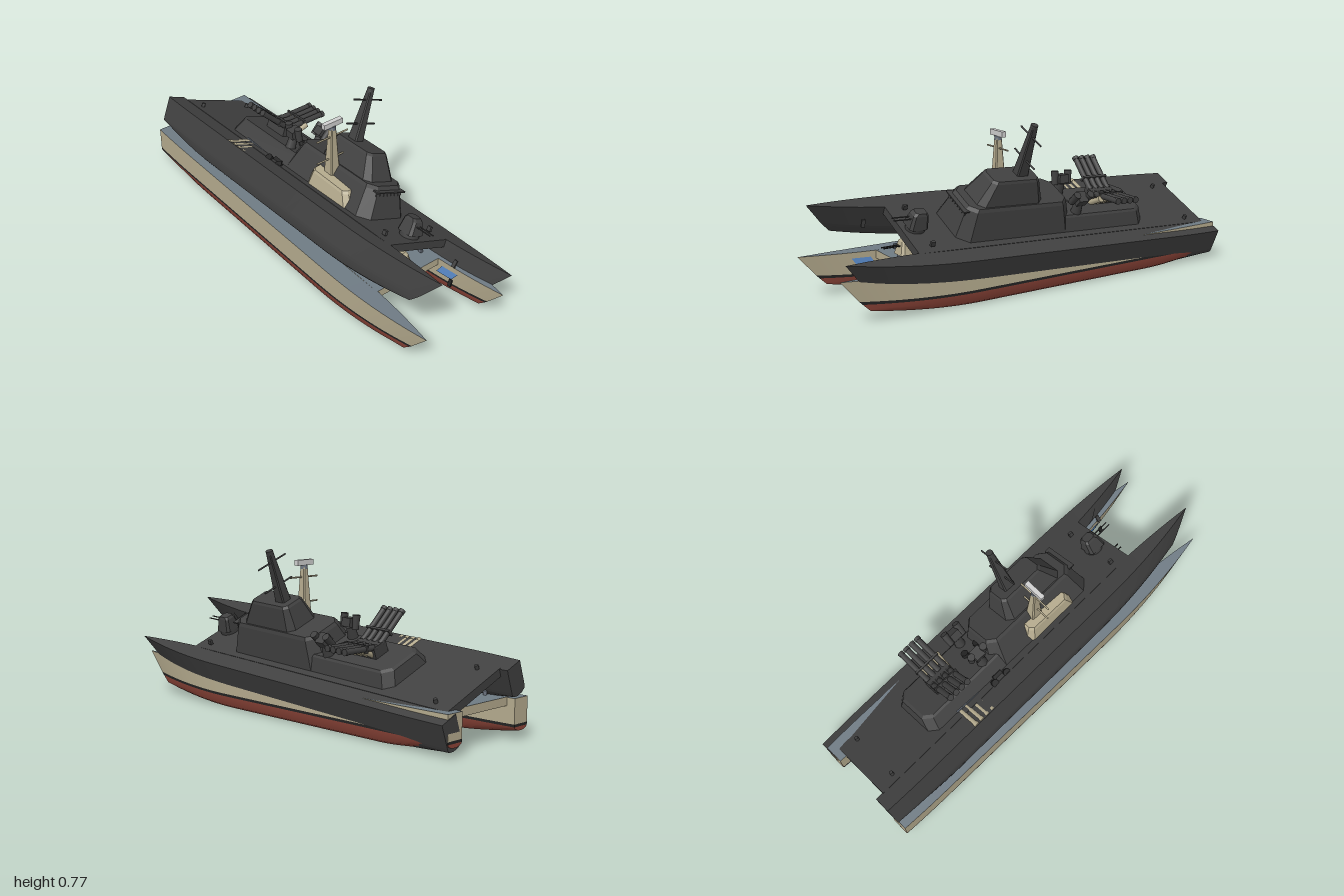
import * as THREE from 'three';
import { toCreasedNormals } from 'three/addons/utils/BufferGeometryUtils.js';
import { ConvexGeometry } from 'three/addons/geometries/ConvexGeometry.js';

const mat = (name, color, side = THREE.FrontSide) => {
  const m = new THREE.MeshStandardMaterial({ color, side });
  m.name = name;
  return m;
};
const lerp = THREE.MathUtils.lerp;
const clamp01 = (v) => Math.min(1, Math.max(0, v));

// Hull rows from keel to deck: half width, height, stern rise, bow height, bow z
const ROWS = [
  [0.016, 0.0, 0.04, 0.05, 0.865],
  [0.035, 0.012, 0.034, 0.055, 0.87],
  [0.046, 0.035, 0.016, 0.064, 0.88],
  [0.05, 0.058, 0, 0.083, 0.9],
  [0.051, 0.07, 0, 0.098, 0.915],
  [0.051, 0.182, 0, 0.197, 1.0],
];

// Point on the hull skin: row r (may be fractional), u from stern 0 to bow 1, side s
function skin(r, u, s) {
  const i = Math.min(4, Math.floor(r));
  const [w, y, rise, yBow, zBow] = ROWS[i].map((v, k) => lerp(v, ROWS[i + 1][k], r - i));
  const bow = 1 - clamp01((u - 0.68) / 0.32) ** 2.3;
  const stern = 1 - 0.12 * clamp01(1 - u / 0.15) ** 2;
  return [
    s * w * bow * stern,
    lerp(y, yBow, clamp01((u - 0.72) / 0.28) ** 1.8) + rise * clamp01(1 - u / 0.2) ** 1.5,
    lerp(-0.99, zBow, u),
  ];
}

function grid(f, n, m) {
  const pos = [], idx = [];
  for (let i = 0; i <= n; i++) for (let j = 0; j <= m; j++) pos.push(...f(i / n, j / m));
  for (let i = 0; i < n; i++) for (let j = 0; j < m; j++) {
    const a = i * (m + 1) + j, b = a + m + 1;
    idx.push(a, b, b + 1, a, b + 1, a + 1);
  }
  const g = new THREE.BufferGeometry();
  g.setAttribute('position', new THREE.Float32BufferAttribute(pos, 3));
  g.setIndex(idx);
  return toCreasedNormals(g, 0.5);
}

// Tapered block with cut corners; each ring is [y, front z, back z, half width, corner cut]
function block(...rings) {
  const pts = [];
  for (const [y, f, b, w, c] of rings) for (const s of [-1, 1]) {
    pts.push(new THREE.Vector3(s * w, y, f - c), new THREE.Vector3(s * (w - c), y, f),
      new THREE.Vector3(s * w, y, b + c), new THREE.Vector3(s * (w - c), y, b));
  }
  return new ConvexGeometry(pts);
}

function makeShip(name, C, hasRadar) {
  const ship = new THREE.Group();
  ship.name = name;
  const add = (n, geo, m, x = 0, y = 0, z = 0, parent = ship) => {
    const mesh = new THREE.Mesh(geo, m);
    mesh.name = n;
    mesh.position.set(x, y, z);
    parent.add(mesh);
    return mesh;
  };
  const box = (w, h, d) => new THREE.BoxGeometry(w, h, d);
  const cyl = (r0, r1, h, n = 12) => new THREE.CylinderGeometry(r0, r1, h, n);

  // Twin hulls
  for (const side of [-1, 1]) {
    const hull = new THREE.Group();
    hull.name = side < 0 ? 'rightHull' : 'leftHull';
    hull.position.x = side * 0.22;
    ship.add(hull);
    const part = (n, geo, m) => add(n, geo, m, 0, 0, 0, hull);
    for (const [n, r0, r1, m] of [['bottom', 0, 3, C.red], ['waterline', 3, 4, C.black], ['topside', 4, 5, C.sand]]) {
      for (const s of [-1, 1]) {
        part(n, grid((i, j) => skin(lerp(r0, r1, j), s > 0 ? 1 - i : i, s), 40, r1 - r0), m);
      }
      part(n + 'Transom', grid((i, j) => skin(lerp(r0, r1, i), 0, j * 2 - 1), r1 - r0, 1), m);
    }
    part('keel', grid((i, j) => skin(0, i, 1 - 2 * j), 40, 1), C.red);
    part('hullDeck', grid((i, j) => skin(5, i, 2 * j - 1), 40, 1), C.deck);
    // Blue plate and anchor on the inner bow
    part('bowPlate', grid((i, j) => {
      const p = skin(lerp(4.28, 4.75, j), lerp(0.842, 0.888, i), -side);
      return [p[0] - side * 0.004, p[1], p[2]];
    }, 4, 1), C.blue);
    const anchor = add('anchor', box(0.008, 0.035, 0.018), C.black, -side * 0.06, 0.117, 0.74, hull);
    anchor.rotation.z = -side * 0.25;
    // Bollards
    add('bowBollard', box(0.013, 0.022, 0.02), C.grey, side * -0.079, 0.2, 0.56, hull);
    add('sternBollard', cyl(0.009, 0.009, 0.02, 8), C.grey, side * -0.08, 0.193, -0.86, hull);
  }

  // Bridging deck
  add('bridgeDeck', box(0.36, 0.038, 1.59), [C.sand, C.sand, C.deck, C.sand, C.sand, C.sand], 0, 0.165, -0.155);

  // Deckhouses
  add('mainHouse', block([0.183, 0.42, -0.19, 0.145, 0.05], [0.31, 0.384, -0.15, 0.107, 0.04],
    [0.325, 0.37, -0.14, 0.098, 0.035]), C.sand);
  add('bridgeHouse', block([0.324, 0.33, -0.01, 0.091, 0.03], [0.422, 0.27, 0.02, 0.063, 0.02],
    [0.433, 0.26, 0.028, 0.056, 0.018]), C.sand);
  add('aftHouse', block([0.183, -0.1, -0.61, 0.145, 0.04], [0.242, -0.1, -0.595, 0.115, 0.04],
    [0.25, -0.1, -0.58, 0.105, 0.035]), C.sand);

  // Bridge windows under a visor
  add('visor', box(0.174, 0.006, 0.03), C.sand, 0, 0.307, 0.39);
  for (let i = -3; i <= 3; i++) {
    add('window', box(0.018, 0.02, 0.006), C.grey, i * 0.0225, 0.294, 0.389).rotation.x = -0.27;
  }

  // Mast with yards and radar
  add('mast', block([0.43, 0.128, 0.068, 0.026, 0.006], [0.675, 0.112, 0.084, 0.013, 0.004]), C.sand);
  add('mastCap', cyl(0.017, 0.017, 0.02), C.grey, 0, 0.674, 0.098);
  for (const y of [0.51, 0.627]) {
    add('yard', cyl(0.004, 0.004, 0.175, 8), C.sand, 0, y, 0.1).rotation.z = Math.PI / 2;
  }
  if (hasRadar) add('radar', box(0.102, 0.026, 0.022), C.white, 0, 0.695, 0.098);

  // Bow gun
  add('gunBase', cyl(0.045, 0.045, 0.02, 20), C.grey, 0, 0.193, 0.575);
  add('gunTurret', block([0.202, 0.622, 0.53, 0.045, 0.012], [0.262, 0.608, 0.535, 0.029, 0.01],
    [0.274, 0.595, 0.542, 0.023, 0.01]), C.sand);
  for (const s of [-1, 1]) {
    add('gunBarrel', cyl(0.003, 0.003, 0.1, 8), C.black, s * 0.0105, 0.243, 0.645).rotation.x = Math.PI / 2;
  }

  // Missile tubes in two outward banks
  add('launcherBase', box(0.08, 0.06, 0.13), C.grey, 0, 0.275, -0.4);
  for (const s of [-1, 1]) {
    const bank = new THREE.Group();
    bank.name = s < 0 ? 'rightTubeBank' : 'leftTubeBank';
    bank.position.set(s * 0.104, 0.331, -0.4);
    bank.rotation.z = s * (0.39 - Math.PI / 2);
    ship.add(bank);
    for (let i = 0; i < 4; i++) {
      const z = (i - 1.5) * 0.034;
      add('missileTube', cyl(0.0135, 0.0135, 0.19), C.sand, 0, 0, z, bank);
      for (const y of [-0.088, 0.088]) add('tubeCap', cyl(0.0155, 0.0155, 0.016), C.sand, 0, y, z, bank);
    }
    add('tubeStrap', box(0.034, 0.01, 0.134), C.grey, 0, -0.03, 0, bank);

    // Decoy launchers ahead of the tubes
    add('decoyPedestal', cyl(0.02, 0.026, 0.06), C.grey, s * 0.083, 0.275, -0.215);
    const head = new THREE.Group();
    head.name = 'decoyHead';
    head.position.set(s * 0.087, 0.325, -0.215);
    head.rotation.z = -s * 0.45;
    ship.add(head);
    add('decoyBody', box(0.055, 0.04, 0.05), C.black, 0, 0, 0, head);
    for (const z of [-0.037, 0.037]) {
      add('decoyTubes', cyl(0.018, 0.015, 0.065), C.black, 0, 0.005, z, head);
    }
  }
  return ship;
}

export function createModel() {
  const paint = {
    sand: mat('sand paint', 0xb5ab8e),
    red: mat('red bottom paint', 0x8c4438),
    black: mat('black trim', 0x242424),
    deck: mat('grey deck', 0x6f7b84),
    grey: mat('grey fittings', 0x6c7480),
    white: mat('pale radar', 0xd0d0d0),
    blue: mat('blue plate', 0x5f93d6, THREE.DoubleSide),
  };
  const dark = mat('dark charcoal', 0x404040, THREE.DoubleSide);
  const charred = Object.fromEntries(Object.keys(paint).map((k) => [k, dark]));

  const model = new THREE.Group();
  model.name = 'twinHullShips';
  // Painted ship level, dark ship heeled over on top of it
  const painted = makeShip('paintedShip', paint, true);
  painted.position.x = -0.025;
  const wreck = makeShip('darkShip', charred, false);
  wreck.position.set(-0.035, 0.128, 0);
  wreck.rotation.set(-0.052, 0, -0.39);
  model.add(painted, wreck);
  return model;
}
